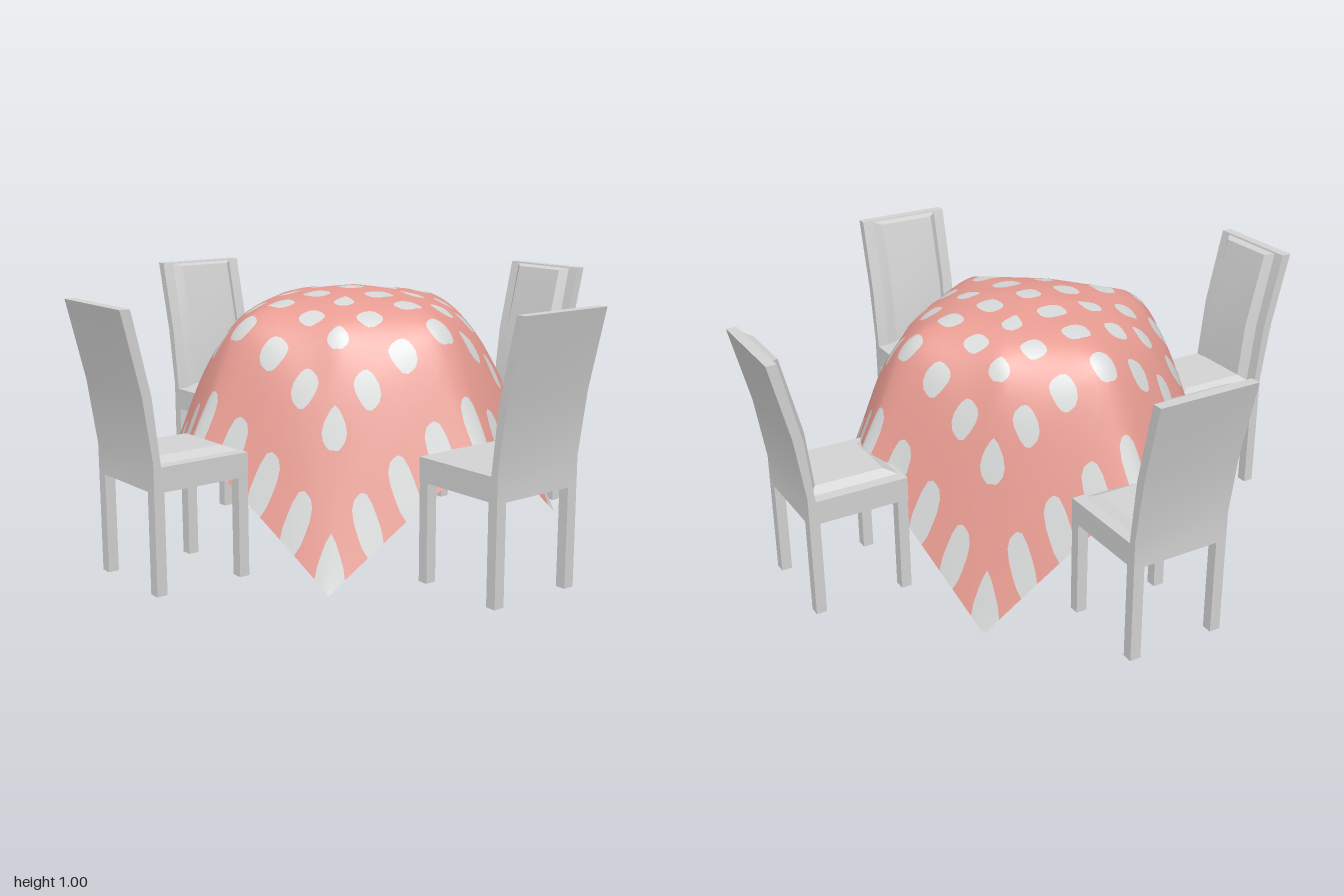
import * as THREE from 'three';
import { toCreasedNormals } from 'three/addons/utils/BufferGeometryUtils.js';

const V = (x, y, z) => new THREE.Vector3(x, y, z);
const profile = pts => new THREE.CatmullRomCurve3(pts.map(([r, y]) => V(r, y, 0)));

const clothMat = new THREE.MeshStandardMaterial({ color: 0xe99d93, side: THREE.DoubleSide });
clothMat.name = 'pink cloth';
const dotMat = new THREE.MeshStandardMaterial({ color: 0xd5d8d7, side: THREE.DoubleSide });
dotMat.name = 'pale dots';
const chairMat = new THREE.MeshStandardMaterial({ color: 0xd3d3d3 });
chairMat.name = 'chair grey';

// Drape profiles from the centre to the hem: [distance along x (and z), height]
const ROWS = 4;      // dot rows on each side of the centre
const HALF = 4.2;    // hem, just outside the last row
const TOP = 0.984;
const crown = [[0, TOP], [0.079, 0.978], [0.157, 0.957], [0.226, 0.92]];
const axisProfile = profile([[0, TOP], [0.079, 0.979], [0.158, 0.968], [0.236, 0.96], [0.312, 0.946],
  [0.39, 0.923], [0.463, 0.868], [0.537, 0.7], [0.63, 0.5]]);
const highCorner = profile([...crown, [0.288, 0.855], [0.35, 0.715], [0.405, 0.55], [0.455, 0.38], [0.51, 0.195]]);
const lowCornerFront = profile([...crown, [0.277, 0.855], [0.315, 0.71], [0.35, 0.54], [0.395, 0.32], [0.45, 0.08]]);
const lowCornerBack = profile([...crown, [0.273, 0.855], [0.308, 0.71], [0.338, 0.53], [0.378, 0.28], [0.425, 0]]);

// Point of the cloth at dot coordinates u, v
function drape(u, v) {
  const a = Math.abs(u), b = Math.abs(v), m = Math.max(a, b);
  if (m < 1e-6) return V(0, TOP, 0);
  const t = Math.min(a, b) / m;
  const corner = u * v >= 0 ? highCorner : (v > 0 ? lowCornerFront : lowCornerBack);
  const A = axisProfile.getPoint(m / HALF), D = corner.getPoint(m / HALF);
  // rounded rings on top, nearly straight hems at the edge
  const hem = (m / HALF) ** 4;
  const f = Math.pow(t, 1.3 - 0.15 * hem);
  const out = A.x + (D.x - A.x) * f;
  const y = A.y + (D.y - A.y) * f;
  const side = D.x * t * (1 + 0.33 * (1 - hem) * (1 - t));
  // the hem is pulled sideways towards the higher corners
  const pull = 0.05 * hem * (1 - t);
  return a >= b
    ? V(Math.sign(u) * out, y, Math.sign(v) * side + Math.sign(u) * pull)
    : V(Math.sign(u) * side + Math.sign(v) * pull, y, Math.sign(v) * out);
}

const clamp = s => THREE.MathUtils.clamp(s, -HALF, HALF);
function drapeNormal(u, v) {
  const e = 0.35;
  const du = drape(clamp(u + e), v).sub(drape(clamp(u - e), v));
  const dv = drape(u, clamp(v + e)).sub(drape(u, clamp(v - e)));
  return dv.cross(du).normalize();
}

// One square cell per dot, made of rings; inner rings are the dot, outer rings the cloth
function clothPart(rings) {
  const SEG = 16, pos = [], nor = [], idx = [];
  for (let i = -ROWS; i <= ROWS; i++) for (let j = -ROWS; j <= ROWS; j++) {
    const start = pos.length / 3;
    for (const ring of rings) for (let k = 0; k <= SEG; k++) {
      const ang = k / SEG * Math.PI * 2, c = Math.cos(ang), s = Math.sin(ang);
      const dot = 0.26 / Math.pow(Math.abs(c) ** 3 + Math.abs(s) ** 3, 1 / 3);
      const cell = 0.5 / Math.max(Math.abs(c), Math.abs(s));
      const r = ring <= 1 ? dot * ring : dot + (cell - dot) * (ring - 1);
      const u = clamp(i + r * c), v = clamp(j + r * s);
      pos.push(...drape(u, v).toArray());
      nor.push(...drapeNormal(u, v).toArray());
    }
    for (let q = 0; q < rings.length - 1; q++) for (let k = 0; k < SEG; k++) {
      const a = start + q * (SEG + 1) + k, b = a + SEG + 1;
      idx.push(a, a + 1, b + 1, a, b + 1, b);
    }
  }
  const g = new THREE.BufferGeometry();
  g.setAttribute('position', new THREE.Float32BufferAttribute(pos, 3));
  g.setAttribute('normal', new THREE.Float32BufferAttribute(nor, 3));
  g.setIndex(idx);
  return g;
}

// Bevelled pad running along the seat and up the backrest
function padGeometry() {
  const wb = 0.132, wt = 0.105, pos = [];
  const sections = [
    [0.575, 0.51, 0.615, 0.53],
    [0.88, 0.51, 0.852, 0.53],
    [0.903, 0.73, 0.873, 0.723],
    [0.962, 0.995, 0.937, 0.987],
  ].map(([bx, by, tx, ty]) => [[bx, by, -wb], [tx, ty, -wt], [tx, ty, wt], [bx, by, wb]]);
  const quad = (a, b, c, d) => pos.push(...a, ...b, ...c, ...a, ...c, ...d);
  for (let i = 0; i < 3; i++) for (let k = 0; k < 3; k++) {
    const p = sections[i], n = sections[i + 1];
    quad(p[k], p[k + 1], n[k + 1], n[k]);
  }
  quad(...[...sections[0]].reverse());
  quad(...sections[3]);
  const g = new THREE.BufferGeometry();
  g.setAttribute('position', new THREE.Float32BufferAttribute(pos, 3));
  return toCreasedNormals(g, 0.35);
}

// Chair standing on the +x side and facing the table
function makeChair(geos) {
  const chair = new THREE.Group();
  const add = (geo, name) => {
    const mesh = new THREE.Mesh(geo, chairMat);
    mesh.name = name;
    chair.add(mesh);
    return mesh;
  };
  add(geos.frame, 'seatAndBackrest');
  add(geos.pad, 'pad');
  for (const x of [0.58, 0.887]) for (const z of [-0.154, 0.154]) {
    add(geos.leg, x < 0.7 ? 'frontLeg' : 'rearLeg').position.set(x, 0.265, z);
  }
  return chair;
}

export function createModel() {
  const model = new THREE.Group();
  model.name = 'diningSet';

  // Tablecloth with dots
  const tablecloth = new THREE.Group();
  tablecloth.name = 'tablecloth';
  const cloth = new THREE.Mesh(clothPart([1, 1.5, 2]), clothMat);
  cloth.name = 'cloth';
  const dots = new THREE.Mesh(clothPart([0, 0.5, 1]), dotMat);
  dots.name = 'clothDots';
  tablecloth.add(cloth, dots);
  model.add(tablecloth);

  // Side outline of seat and backrest, softly shaded along the bent back
  const outline = [
    [0.56, 0.43], [0.905, 0.43], [0.905, 0.527], [0.937, 0.74], [1, 1],
    [0.965, 1], [0.903, 0.73], [0.878, 0.51], [0.56, 0.51],
  ].map(([x, y]) => new THREE.Vector2(x, y));
  const slab = new THREE.ExtrudeGeometry(new THREE.Shape(outline), { depth: 0.346, bevelEnabled: false });
  slab.translate(0, 0, -0.173);
  const geos = {
    frame: toCreasedNormals(slab, 0.35),
    pad: padGeometry(),
    leg: new THREE.BoxGeometry(0.036, 0.33, 0.038),
  };

  // Four chairs around the table
  ['leftChair', 'backChair', 'rightChair', 'frontChair'].forEach((name, i) => {
    const chair = makeChair(geos);
    chair.name = name;
    chair.rotation.y = i * Math.PI / 2;
    model.add(chair);
  });
  return model;
}
